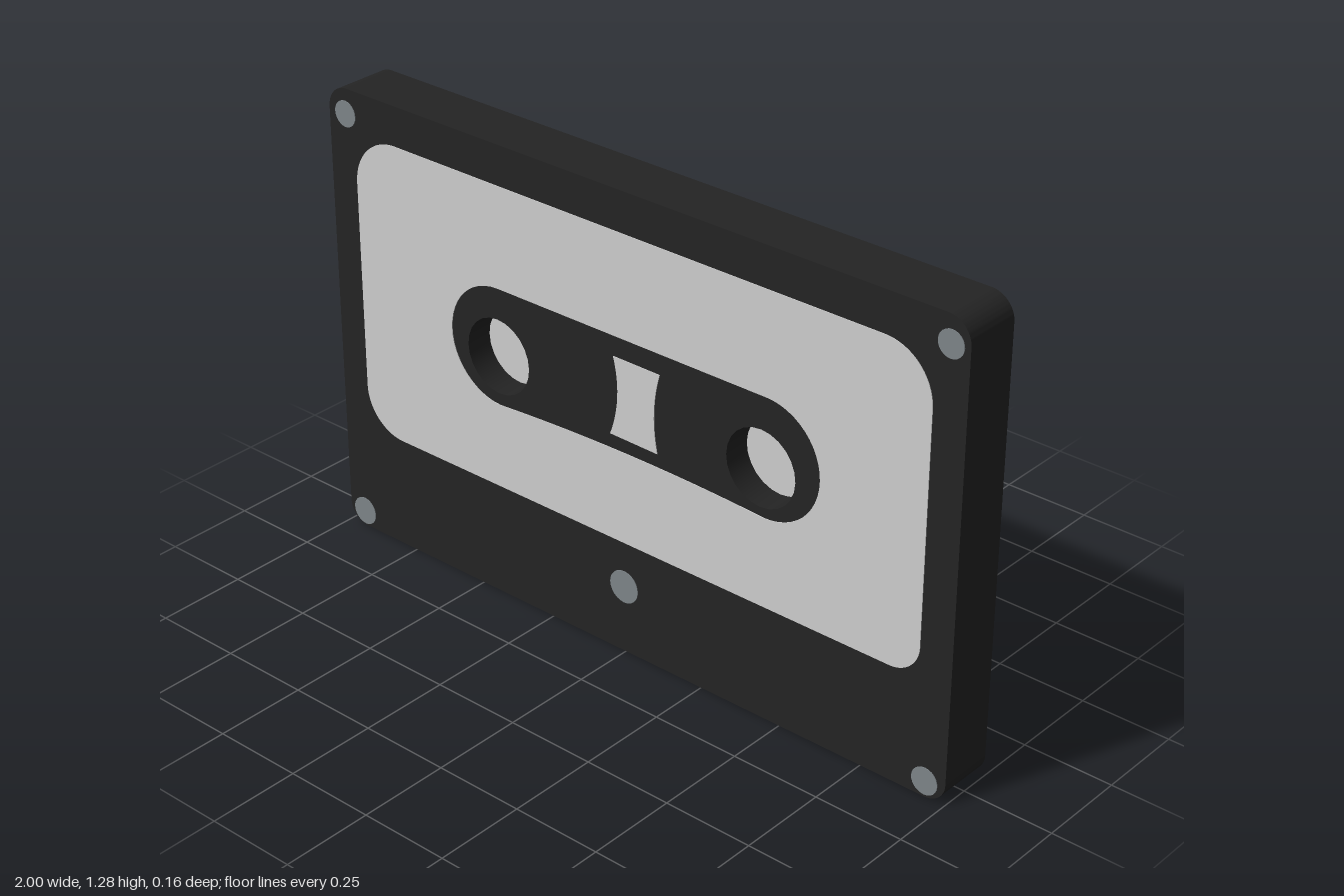
import * as THREE from 'three';
import { toCreasedNormals } from 'three/addons/utils/BufferGeometryUtils.js';

const HALF = 0.08;    // half the thickness of the shell
const PLATE = 0.002;  // thickness of the printed details
const HOLE = { x: 0.425, y: 0.7, r: 0.105 };

const material = (name, color) => {
  const m = new THREE.MeshStandardMaterial({ color });
  m.name = name;
  return m;
};

// Rectangle with one radius per corner: bottom left, bottom right, top right, top left
function roundedRect(x0, y0, x1, y1, [bl, br, tr, tl], Type = THREE.Shape) {
  const s = new Type();
  s.absarc(x0 + bl, y0 + bl, bl, Math.PI, Math.PI * 1.5);
  s.absarc(x1 - br, y0 + br, br, Math.PI * 1.5, Math.PI * 2);
  s.absarc(x1 - tr, y1 - tr, tr, 0, Math.PI / 2);
  s.absarc(x0 + tl, y1 - tl, tl, Math.PI / 2, Math.PI);
  s.closePath();
  return s;
}

function extrude(name, shape, depth, z, mat, curveSegments = 12) {
  const geo = new THREE.ExtrudeGeometry(shape, { depth, bevelEnabled: false, curveSegments });
  geo.translate(0, 0, z);
  const mesh = new THREE.Mesh(toCreasedNormals(geo, 0.7), mat);
  mesh.name = name;
  return mesh;
}

export function createModel() {
  const black = material('black plastic', 0x242424);
  const paper = material('light grey', 0xd0d0d0);
  const steel = material('screw grey', 0x7f868a);

  const group = new THREE.Group();
  group.name = 'cassette';

  // Shell with two round reel holes
  const outline = roundedRect(-1, 0, 1, 1.285, [0.06, 0.06, 0.065, 0.065]);
  for (const side of [-1, 1]) {
    const hole = new THREE.Path();
    hole.absarc(side * HOLE.x, HOLE.y, HOLE.r, 0, Math.PI * 2, true);
    outline.holes.push(hole);
  }
  group.add(extrude('shell', outline, 2 * HALF, -HALF, black));

  // Reel discs halfway down the holes, seen from both faces
  for (const side of [-1, 1]) {
    const disc = new THREE.Mesh(new THREE.CylinderGeometry(HOLE.r, HOLE.r, 0.006, 32), paper);
    disc.rotation.x = Math.PI / 2;
    disc.position.set(side * HOLE.x, HOLE.y, 0);
    disc.name = side < 0 ? 'reelRight' : 'reelLeft';
    group.add(disc);
  }

  // Label with a slot-shaped cutout whose lower edge bows up slightly
  const label = roundedRect(-0.91, 0.322, 0.908, 1.175, [0.125, 0.085, 0.14, 0.14]);
  const slot = new THREE.Path();
  slot.moveTo(-0.42, 0.563);
  slot.quadraticCurveTo(0.01, 0.595, 0.44, 0.57);
  slot.absarc(0.44, 0.733, 0.163, -Math.PI / 2, Math.PI / 2);
  slot.absarc(-0.42, 0.728, 0.165, Math.PI / 2, Math.PI * 1.5);
  label.holes.push(slot);

  // Tape window with curved-in sides
  const tapeWindow = new THREE.Shape();
  tapeWindow.moveTo(-0.048, 0.62);
  tapeWindow.lineTo(0.105, 0.618);
  tapeWindow.quadraticCurveTo(0.08, 0.73, 0.112, 0.838);
  tapeWindow.lineTo(-0.037, 0.838);
  tapeWindow.quadraticCurveTo(-0.005, 0.73, -0.048, 0.62);

  // Screws: x, y, radius
  const screws = [
    [-0.942, 1.215, 0.036], [0.948, 1.212, 0.036], [-0.005, 0.192, 0.046],
    [-0.945, 0.045, 0.04], [0.94, 0.045, 0.038],
  ];

  // The same details on the front and, turned half around, on the back
  for (const [name, angle] of [['frontFace', 0], ['backFace', Math.PI]]) {
    const face = new THREE.Group();
    face.name = name;
    face.rotation.y = angle;
    face.add(extrude('label', label, PLATE, HALF, paper));
    face.add(extrude('tapeWindow', tapeWindow, PLATE, HALF, paper));
    for (const [x, y, r] of screws) {
      const screw = new THREE.Shape();
      screw.absarc(x, y, r, 0, Math.PI * 2);
      face.add(extrude('screw', screw, PLATE, HALF, steel, 12));
    }
    group.add(face);
  }
  return group;
}
